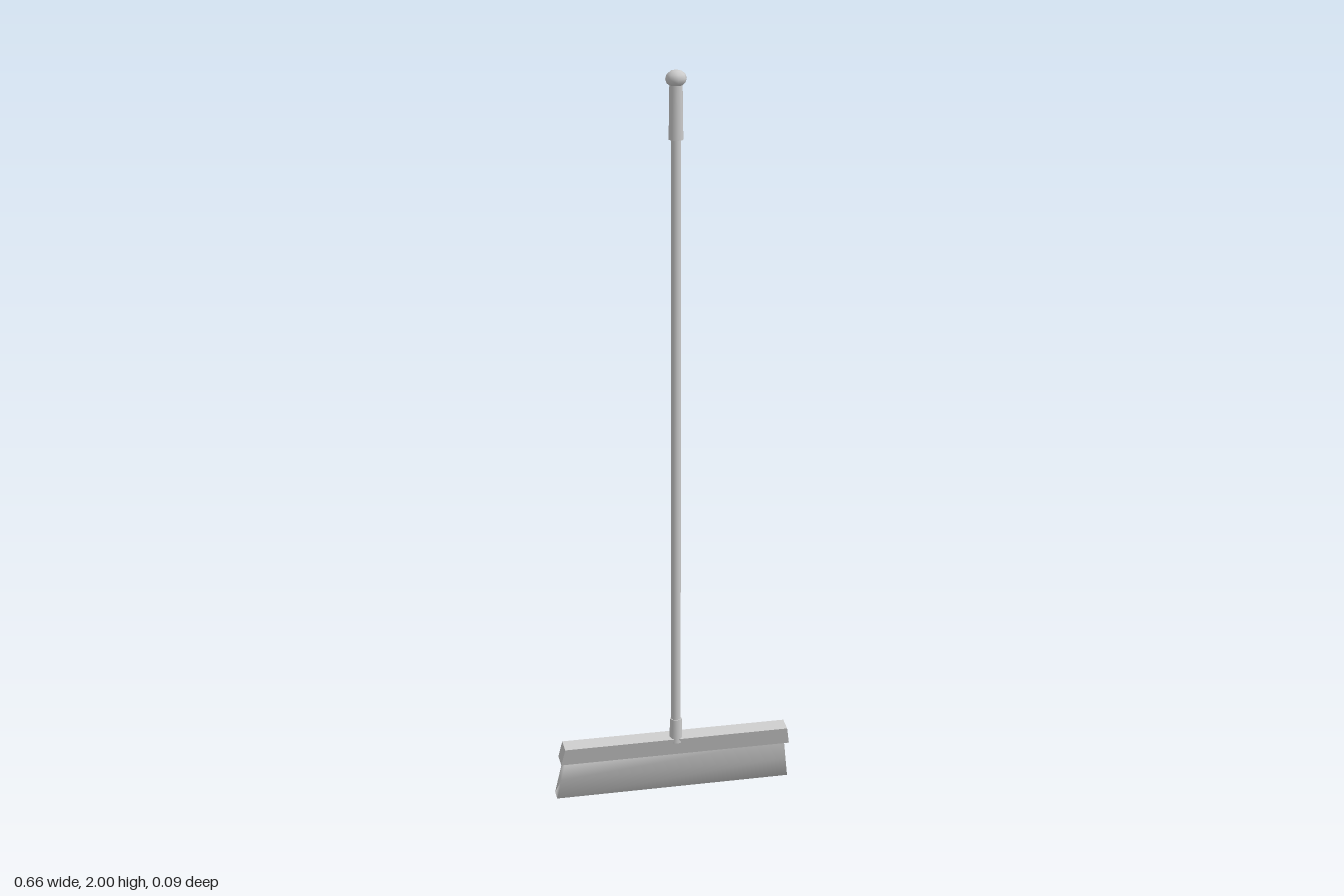
import * as THREE from 'three';
import { mergeVertices } from 'three/addons/utils/BufferGeometryUtils.js';

const material = new THREE.MeshStandardMaterial({ color: 0xcccccc });
const flatMaterial = new THREE.MeshStandardMaterial({ color: 0xcccccc, flatShading: true });

function addPart(parent, name, geometry, mat = material) {
  const mesh = new THREE.Mesh(geometry, mat);
  mesh.name = name;
  parent.add(mesh);
  return mesh;
}

// Box hanging from y = top to y = bottom, its half width and depth changing with height
function flaredBox(top, bottom, halfTop, halfBottom, depthTop, depthBottom, rows) {
  const geometry = new THREE.BoxGeometry(2, 1, 1, 1, rows, 1);
  const p = geometry.attributes.position;
  for (let i = 0; i < p.count; i++) {
    const t = 0.5 - p.getY(i);
    p.setXYZ(i,
      p.getX(i) * THREE.MathUtils.lerp(halfTop, halfBottom, t),
      THREE.MathUtils.lerp(top, bottom, t),
      p.getZ(i) * THREE.MathUtils.lerp(depthTop, depthBottom, t));
  }
  geometry.computeVertexNormals();
  return geometry;
}

// Shares corners so the shading runs smoothly round the edges
function smooth(geometry) {
  geometry.deleteAttribute('uv');
  geometry.deleteAttribute('normal');
  const merged = mergeVertices(geometry);
  merged.computeVertexNormals();
  return merged;
}

export function createModel() {
  const broom = new THREE.Group();
  broom.name = 'broom';

  // Upright handle: [name, bottom y, top y, bottom radius, top radius]
  const handle = new THREE.Group();
  handle.name = 'handle';
  handle.position.z = 0.0135;
  broom.add(handle);
  const sections = [
    ['pole', 0.17, 1.95, 0.0135, 0.0135],
    ['socket', 0.15, 0.218, 0.0185, 0.0165],
    ['grip', 1.82, 1.965, 0.0195, 0.0175],
  ];
  for (const [name, y0, y1, r0, r1] of sections) {
    addPart(handle, name, new THREE.CylinderGeometry(r1, r0, y1 - y0, 8))
      .position.y = (y0 + y1) / 2;
  }
  const knob = addPart(handle, 'knob', new THREE.SphereGeometry(0.0285, 8, 6));
  knob.scale.y = 0.8;
  knob.position.y = 1.9772;

  // Head leaning back towards its tips
  const head = new THREE.Group();
  head.name = 'head';
  head.position.set(0, 0.167, 0.01);
  head.rotation.x = THREE.MathUtils.degToRad(14);
  broom.add(head);
  addPart(head, 'headBlock', flaredBox(0, -0.05, 0.313, 0.322, 0.041, 0.041, 1), flatMaterial);
  addPart(head, 'bristles', smooth(flaredBox(-0.045, -0.168, 0.309, 0.328, 0.028, 0.029, 2)));

  return broom;
}
